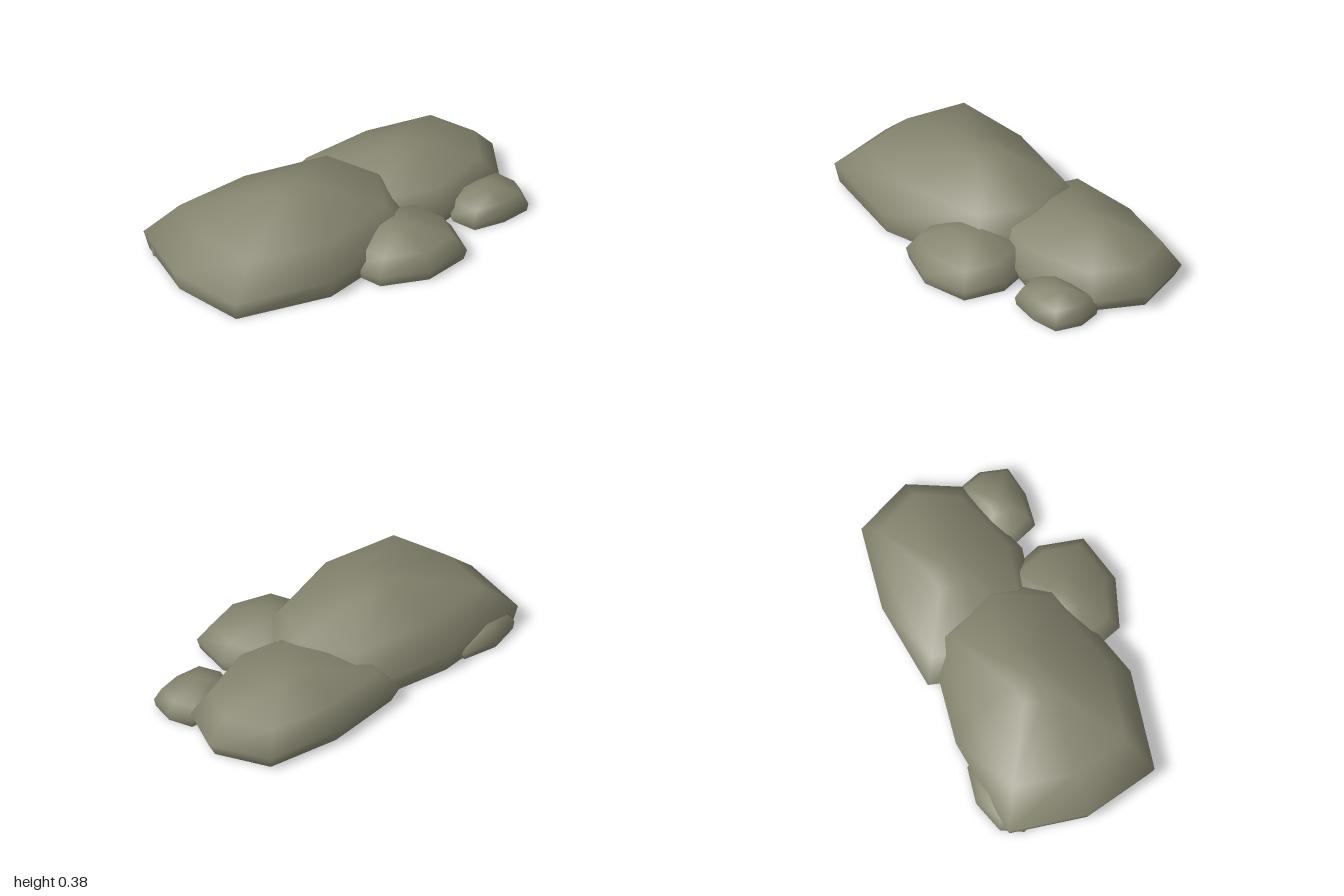
import * as THREE from 'three';

// Open-bottomed boulder: one outline (x, z) repeated up a stack of rings.
// Each ring is [height, scale, shiftX, shiftZ] about the rock's centre.
function rock(name, material, [cx, cz], outline, rings) {
  const n = outline.length;
  const pos = [];
  const index = [];
  for (const [y, s, dx = 0, dz = 0] of rings) {
    for (const [x, z] of outline) {
      pos.push(cx + (x - cx) * s + dx, y, cz + (z - cz) * s + dz);
    }
  }
  for (let k = 0; k < rings.length - 1; k++) {
    for (let i = 0; i < n; i++) {
      const a = k * n + i;
      const b = k * n + (i + 1) % n;
      index.push(a, a + n, b, b, a + n, b + n);
    }
  }
  // nearly flat crown
  const [ty, , tx = 0, tz = 0] = rings[rings.length - 1];
  const apex = rings.length * n;
  pos.push(cx + tx, ty + 0.004, cz + tz);
  for (let i = 0; i < n; i++) {
    index.push(apex - n + i, apex, apex - n + (i + 1) % n);
  }
  const g = new THREE.BufferGeometry();
  g.setAttribute('position', new THREE.Float32BufferAttribute(pos, 3));
  g.setIndex(index);
  g.computeVertexNormals();
  const mesh = new THREE.Mesh(g, material);
  mesh.name = name;
  return mesh;
}

export function createModel() {
  const group = new THREE.Group();
  group.name = 'rockCluster';
  const stone = new THREE.MeshStandardMaterial({ color: 0x85846f, side: THREE.DoubleSide });
  stone.name = 'mossy grey stone';

  // large boulder on the right-hand side of the cluster
  group.add(rock('largeBoulder', stone, [-0.33, -0.06],
    [[-1, -0.07], [-0.92, -0.48], [-0.38, -0.53], [0.2, -0.43],
      [0.36, -0.07], [0.2, 0.27], [-0.38, 0.43], [-0.91, 0.33]],
    [[0, 0.96], [0.1, 1], [0.255, 0.77, 0.02], [0.373, 0.23, 0.04, -0.02]]));

  // second boulder
  group.add(rock('mediumBoulder', stone, [0.44, -0.2],
    [[-0.12, -0.2], [-0.03, -0.53], [0.44, -0.575], [0.87, -0.5],
      [1, -0.2], [0.87, 0.06], [0.45, 0.2], [0, 0.1]],
    [[0, 0.92], [0.075, 1], [0.19, 0.81], [0.273, 0.24, 0.02, -0.02]]));

  // front stone
  group.add(rock('frontStone', stone, [0.12, 0.28],
    [[-0.19, 0.3], [-0.12, 0.07], [0.12, 0], [0.36, 0.07],
      [0.435, 0.28], [0.38, 0.505], [0.12, 0.567], [-0.13, 0.48]],
    [[0, 0.95], [0.055, 1], [0.138, 0.8], [0.198, 0.28, -0.02, -0.01]]));

  // small stone at the front corner
  group.add(rock('smallFrontStone', stone, [0.71, 0.18],
    [[0.5, 0.18], [0.55, 0.05], [0.72, 0.025], [0.88, 0.04],
      [0.92, 0.17], [0.88, 0.31], [0.72, 0.337], [0.55, 0.315]],
    [[0, 0.96], [0.04, 1], [0.1, 0.83], [0.136, 0.35]]));

  // small stone half hidden at the back
  group.add(rock('smallBackStone', stone, [-0.69, -0.39],
    [[-0.93, -0.39], [-0.87, -0.505], [-0.69, -0.557], [-0.5, -0.52],
      [-0.45, -0.39], [-0.5, -0.26], [-0.69, -0.22], [-0.87, -0.27]],
    [[0, 0.96], [0.04, 1], [0.1, 0.8], [0.135, 0.3]]));

  return group;
}
